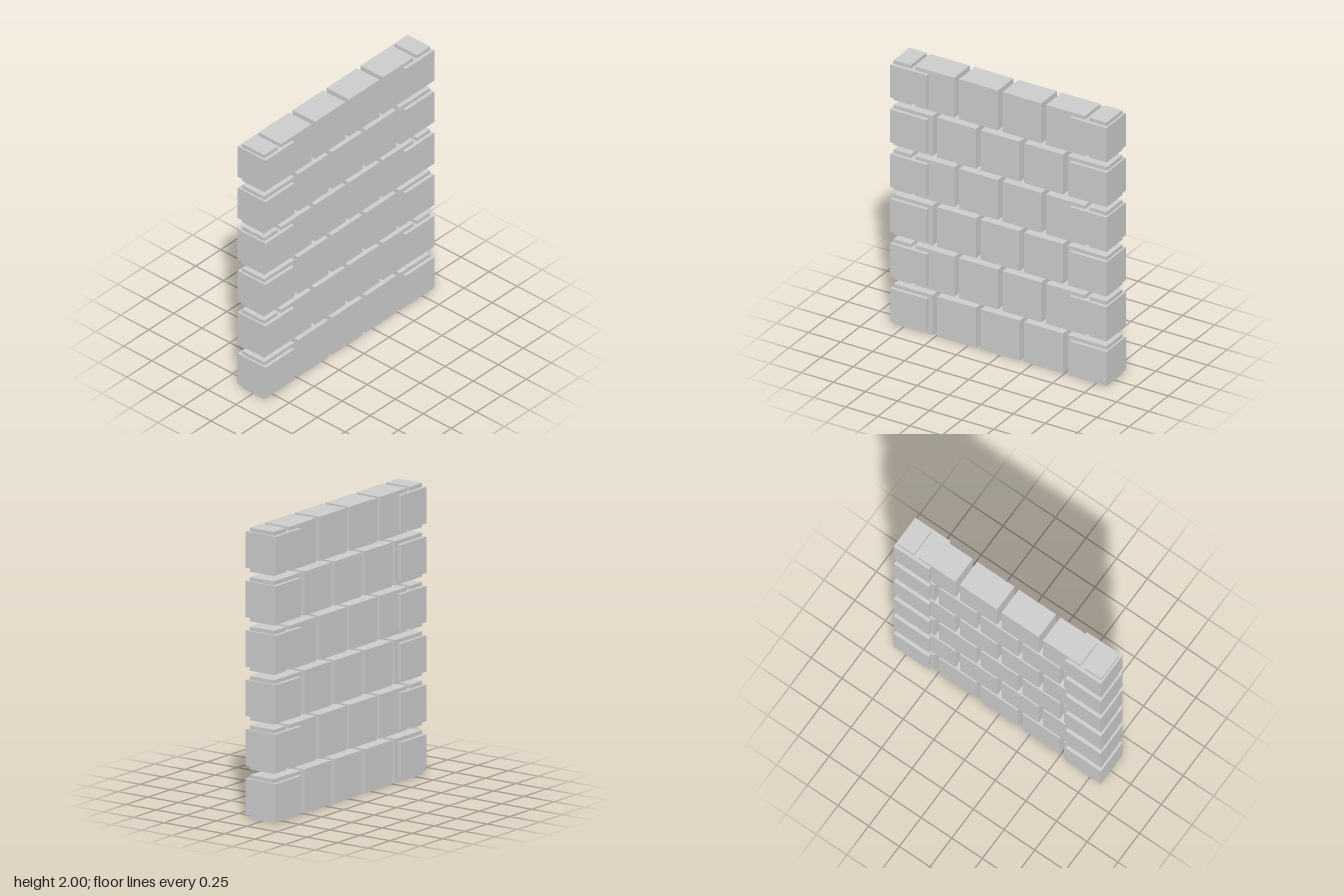
import * as THREE from 'three';

const ROWS = 6, PITCH = 0.3394, BRICK = 0.303, DEPTH = 0.2;
const HALF = 2 * PITCH + BRICK / 2; // half length of a course

export function createModel() {
  const wall = new THREE.Group();
  wall.name = 'brickWall';
  const material = new THREE.MeshStandardMaterial({ color: 0xcccccc, flatShading: true });

  const fullBrick = new THREE.BoxGeometry(BRICK, BRICK, DEPTH);
  const cutWidth = 0.134;
  const cutBrick = new THREE.BoxGeometry(cutWidth, BRICK, DEPTH);
  const quoin = new THREE.BoxGeometry(0.286, 0.249, 0.249);

  const add = (parent, geometry, name, x) => {
    const mesh = new THREE.Mesh(geometry, material);
    mesh.name = name;
    mesh.position.x = x;
    parent.add(mesh);
  };

  for (let row = 0; row < ROWS; row++) {
    const course = new THREE.Group();
    course.name = `course${row + 1}`;
    course.position.y = BRICK / 2 + row * PITCH;

    // Courses alternate between five whole bricks and four with cut ends
    const staggered = row % 2 === 1;
    const count = staggered ? 4 : 5;
    for (let i = 0; i < count; i++) {
      add(course, fullBrick, 'brick', (i - (count - 1) / 2) * PITCH);
    }

    for (const side of [-1, 1]) {
      const label = side > 0 ? 'left' : 'right';
      if (staggered) add(course, cutBrick, `${label}CutBrick`, side * (HALF - cutWidth / 2));
      // Thicker corner block wrapping the end of the course
      add(course, quoin, `${label}CornerBlock`, side * 0.701);
    }
    wall.add(course);
  }
  return wall;
}
